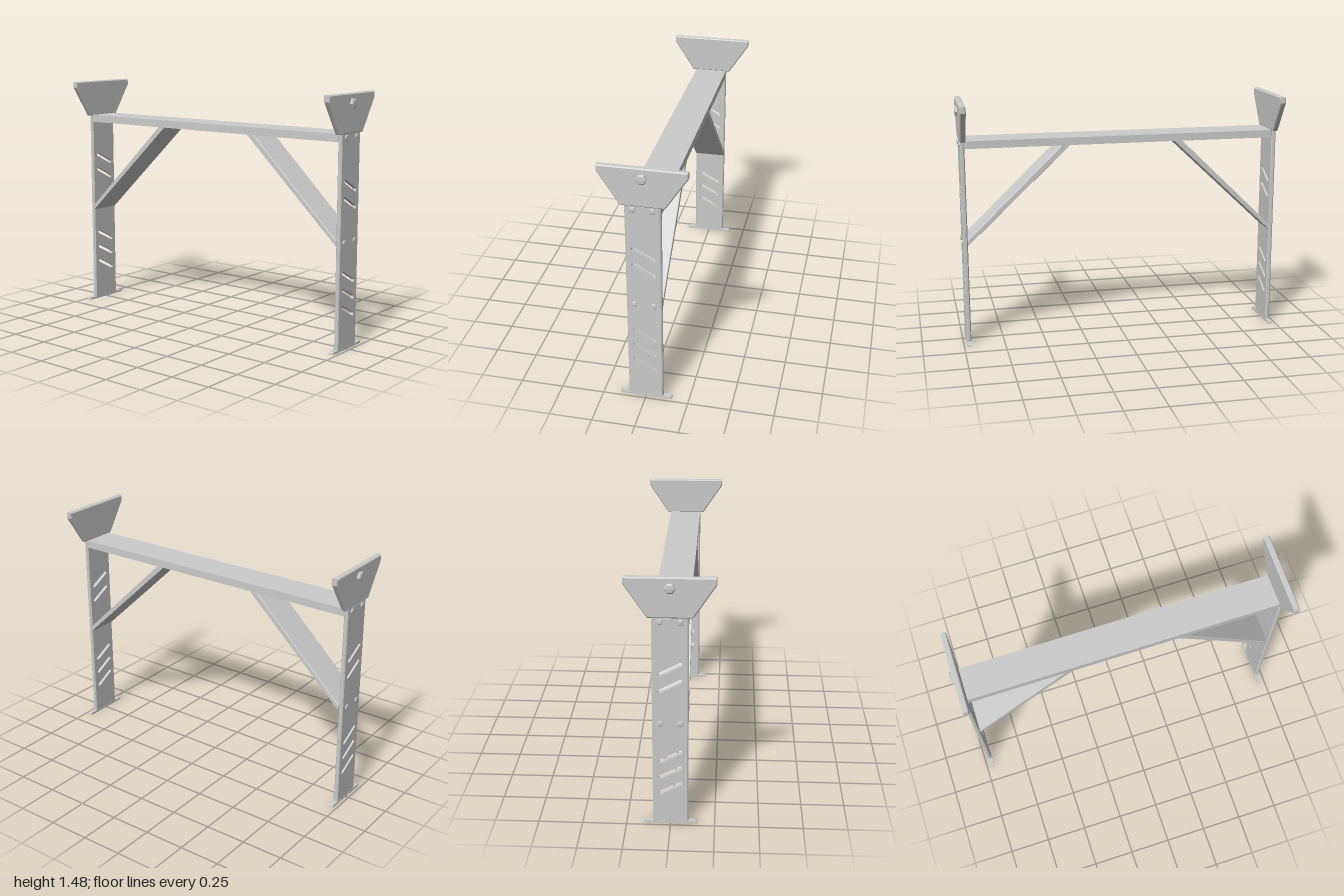
import * as THREE from 'three';

const mat = new THREE.MeshStandardMaterial({ color: 0xcccccc, flatShading: true });

function mesh(name, geometry) {
  const m = new THREE.Mesh(geometry, mat);
  m.name = name;
  return m;
}

const outline = (pts) => new THREE.Shape(pts.map(([x, y]) => new THREE.Vector2(x, y)));
const rect = (w, y0, y1) => outline([[-w, y0], [w, y0], [w, y1], [-w, y1]]);

// Plate of a given total depth, chamfered all round, centred on its depth
function plate(shape, depth, bevel = 0) {
  const g = new THREE.ExtrudeGeometry(shape, {
    depth: depth - 2 * bevel, bevelEnabled: bevel > 0, bevelThickness: bevel,
    bevelSize: bevel, bevelOffset: -bevel, bevelSegments: 1, curveSegments: 8,
  });
  return g.translate(0, 0, bevel - depth / 2);
}

// Turns a plate so its depth runs along x
const sideways = (g) => g.rotateY(Math.PI / 2);

// Slanted slot with round ends, higher towards the front
function slot(y) {
  const a = Math.atan2(-0.03, 0.056), r = 0.011;
  const p = new THREE.Path();
  p.absarc(0.056, y - 0.03, r, a - Math.PI / 2, a + Math.PI / 2, false);
  p.absarc(-0.056, y + 0.03, r, a + Math.PI / 2, a + Math.PI * 1.5, false);
  p.closePath();
  return p;
}

// Six-sided bolt head with a stepped dome, pointing outwards along x
function bolt(name, r, height, s, x, y, z) {
  const pts = [[r, 0], [r, 0.6], [r * 0.75, 0.9], [0, 1]]
    .map(([px, py]) => new THREE.Vector2(px, py * height));
  const b = mesh(name, new THREE.LatheGeometry(pts, 6));
  b.rotation.z = -s * Math.PI / 2;
  b.position.set(s * x, y, z);
  return b;
}

function createModel() {
  const model = new THREE.Group();
  model.name = 'workFrame';

  // Cross beam
  const beam = outline([[-0.1, 1.214], [0.1, 1.214], [0.1, 1.26], [-0.1, 1.26]]);
  model.add(mesh('crossBeam', sideways(plate(beam, 1.91, 0.005))));

  for (const s of [1, -1]) {
    const side = new THREE.Group();
    side.name = s > 0 ? 'leftSupport' : 'rightSupport';
    model.add(side);

    // Slotted leg plate with chamfered edge strips
    const leg = new THREE.Group();
    leg.name = 'leg';
    leg.position.x = s * 0.966;
    const core = rect(0.093, 0.005, 1.257);
    core.holes = [0.962, 0.862, 0.43, 0.33, 0.23].map(slot);
    leg.add(mesh('legPlate', sideways(plate(core, 0.027))));
    for (const e of [1, -1]) {
      const strip = plate(outline([
        [-0.0135, 0.092], [0.0135, 0.092], [0.0135, 0.093],
        [0.0075, 0.1], [-0.0075, 0.1], [-0.0135, 0.093],
      ]), 1.252).rotateX(Math.PI / 2).translate(0, 0.631, 0);
      const edge = mesh('legEdge', strip);
      if (e < 0) edge.rotation.y = Math.PI;
      leg.add(edge);
    }
    side.add(leg);

    // Foot with clipped upper corners
    const foot = mesh('foot', sideways(plate(outline([
      [-0.152, 0], [0.152, 0], [0.152, 0.008], [0.147, 0.013], [-0.147, 0.013], [-0.152, 0.008],
    ]), 0.03)));
    foot.position.x = s * 0.966;
    side.add(foot);

    // Flared head plate
    const head = mesh('headPlate', sideways(plate(outline([
      [-0.122, 1.257], [0.122, 1.257], [0.246, 1.445], [0.246, 1.483],
      [-0.246, 1.483], [-0.246, 1.445],
    ]), 0.036, 0.006)));
    head.position.x = s * 0.965;
    side.add(head);

    // Diagonal brace, full width of the beam
    const brace = mesh('brace', plate(outline([
      [0.953, 0.62], [0.953, 0.655], [0.372, 1.216], [0.32, 1.216],
    ]), 0.2, 0.003));
    if (s < 0) brace.rotation.y = Math.PI;
    side.add(brace);

    // Bolts
    side.add(bolt('headBolt', 0.031, 0.018, s, 0.982, 1.425, 0));
    for (const y of [1.236, 0.637])
      for (const z of [0.055, -0.055])
        side.add(bolt('legBolt', 0.018, 0.009, s, 0.979, y, z));
  }
  return model;
}

export { createModel };
